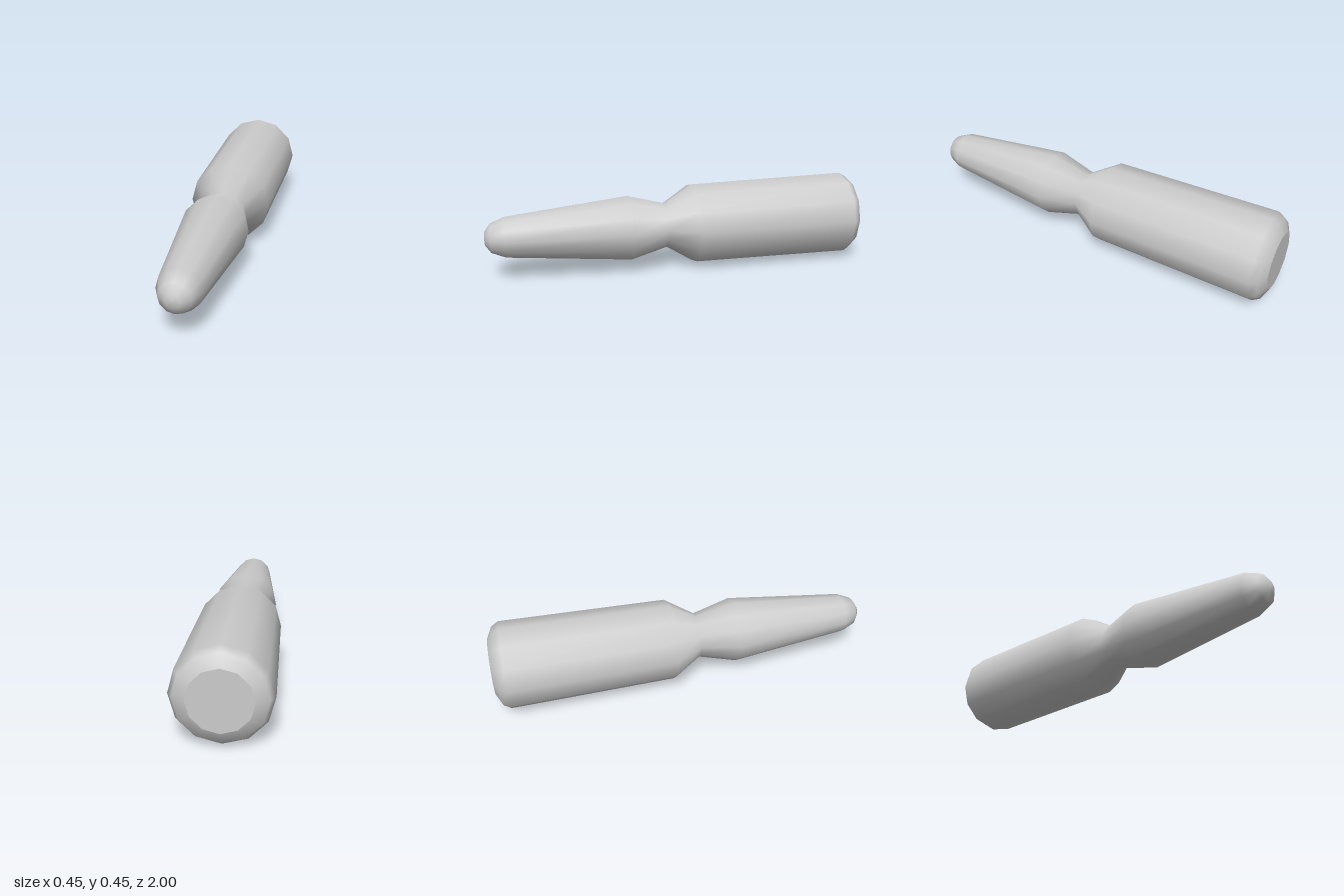
import * as THREE from 'three';

const SIDES = 12;
const AXIS_HEIGHT = 0.227;

// Revolves [radius, z] pairs (ordered back to front) about the z axis.
function turned(name, profile) {
  const geometry = new THREE.LatheGeometry(
    profile.map(([r, z]) => new THREE.Vector2(r, z)), SIDES);
  geometry.rotateX(Math.PI / 2);
  const mesh = new THREE.Mesh(geometry, new THREE.MeshStandardMaterial({ color: 0xcccccc }));
  mesh.name = name;
  mesh.position.y = AXIS_HEIGHT;
  return mesh;
}

export function createModel() {
  const group = new THREE.Group();
  group.name = 'taperedTool';

  // flat back end
  group.add(turned('backCap', [[0, -1], [0.145, -1]]));

  // thick handle, waist, tapered shaft and rounded tip in one smooth skin
  group.add(turned('body', [
    [0.145, -1], [0.203, -0.972], [0.225, -0.935], // rounded back rim
    [0.212, -0.08],                                // handle shoulder
    [0.118, 0.07],                                 // waist
    [0.171, 0.27],                                 // widest part of the shaft
    [0.105, 0.9], [0.075, 0.97], [0.033, 0.998], [0, 1], // rounded tip
  ]));

  return group;
}
